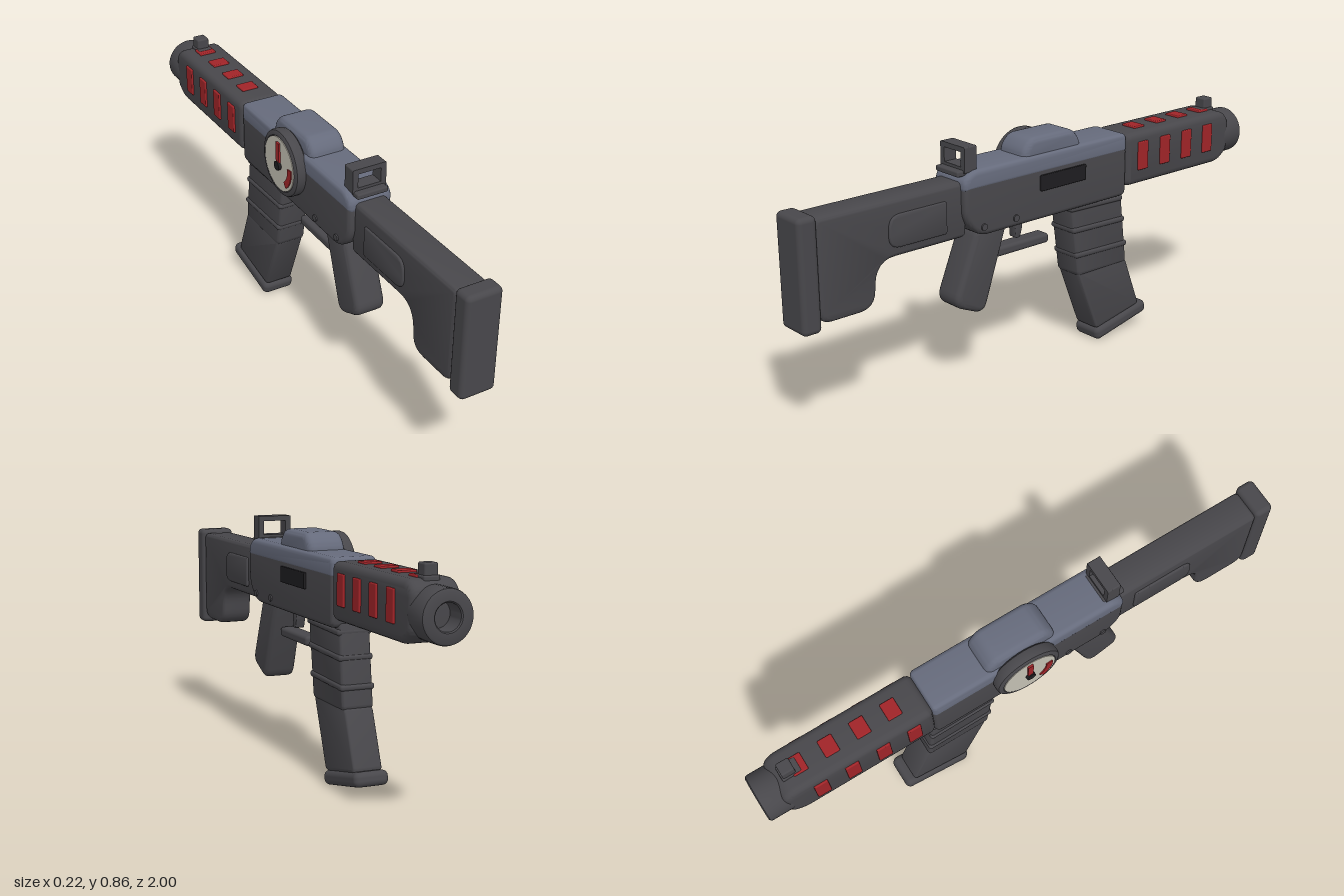
import * as THREE from 'three';
import { toCreasedNormals } from 'three/addons/utils/BufferGeometryUtils.js';
import { RoundedBoxGeometry } from 'three/addons/geometries/RoundedBoxGeometry.js';

const CX = 0.018; // centre plane of the body

function material(name, color) {
  const m = new THREE.MeshStandardMaterial({ color });
  m.name = name;
  return m;
}

// Closed outline of [z, y, radius] corners, each rounded by its radius
function roundedShape(points, radius) {
  const shape = new THREE.Shape();
  const n = points.length;
  points.forEach((p, i) => {
    const c = new THREE.Vector2(p[0], p[1]);
    const a = new THREE.Vector2(...points[(i + n - 1) % n].slice(0, 2)).sub(c);
    const b = new THREE.Vector2(...points[(i + 1) % n].slice(0, 2)).sub(c);
    const r = Math.min(p[2] ?? radius, a.length() * 0.48, b.length() * 0.48);
    a.setLength(r).add(c);
    b.setLength(r).add(c);
    if (i === 0) shape.moveTo(a.x, a.y);
    else shape.lineTo(a.x, a.y);
    shape.quadraticCurveTo(c.x, c.y, b.x, b.y);
  });
  shape.closePath();
  return shape;
}

// Side outline extruded across x, with softened edges
function slab(points, width, bevel, radius = bevel * 1.5) {
  const geo = new THREE.ExtrudeGeometry(roundedShape(points, radius), {
    depth: width - 2 * bevel, curveSegments: 6, bevelEnabled: true,
    bevelThickness: bevel, bevelSize: bevel, bevelOffset: -bevel, bevelSegments: 4,
  });
  geo.translate(0, 0, -(width - 2 * bevel) / 2);
  geo.rotateY(-Math.PI / 2);
  return toCreasedNormals(geo, 0.6);
}

function lathe(points) {
  const pts = points.map(([r, y]) => new THREE.Vector2(r, y));
  return toCreasedNormals(new THREE.LatheGeometry(pts, 40), 0.6);
}

export function createModel() {
  const dark = material('charcoal', 0x48474b);
  const slate = material('slate', 0x666b7c);
  const red = material('red', 0xa02428);
  const black = material('black', 0x1e1d20);
  const cream = material('dial cream', 0xc4c0b4);

  const model = new THREE.Group();
  const add = (name, geo, mat, x = CX, y = 0, z = 0) => {
    const mesh = new THREE.Mesh(geo, mat);
    mesh.name = name;
    mesh.position.set(x, y, z);
    model.add(mesh);
    return mesh;
  };
  const box = (name, mat, w, h, d, x, y, z, r = 0.006) =>
    add(name, new RoundedBoxGeometry(w, h, d, 3, r), mat, x, y, z);

  // Stock, cheek panels and butt plate
  add('stock', slab([
    [0.35, 0.752], [0.935, 0.752], [0.935, 0.405, 0.05], [0.722, 0.405, 0.06],
    [0.712, 0.56, 0.1], [0.35, 0.56],
  ], 0.116, 0.015), dark);
  add('stockPanel', slab([
    [0.435, 0.703, 0.01], [0.665, 0.703, 0.045], [0.668, 0.592, 0.045], [0.435, 0.592, 0.01],
  ], 0.132, 0.006), dark);
  box('buttPlate', dark, 0.131, 0.382, 0.07, CX + 0.002, 0.575, 0.965, 0.018);

  // Receiver: dark lower body, slate cover and top hump
  add('receiverBody', slab([
    [-0.375, 0.745], [0.372, 0.745], [0.372, 0.62, 0.04], [0.31, 0.556, 0.04], [-0.375, 0.556],
  ], 0.162, 0.016), dark);
  add('receiverCover', slab([
    [-0.375, 0.788], [0.335, 0.788, 0.04], [0.374, 0.76, 0.02], [0.374, 0.718, 0.015], [-0.375, 0.718, 0.015],
  ], 0.164, 0.018, 0.02), slate);
  add('topHump', slab([
    [-0.162, 0.76, 0.02], [-0.16, 0.805, 0.03], [-0.125, 0.846, 0.035],
    [0.07, 0.846, 0.035], [0.105, 0.805, 0.03], [0.107, 0.76, 0.02],
  ], 0.136, 0.022), slate);
  box('sidePort', black, 0.02, 0.056, 0.21, 0.098, 0.688, -0.06, 0.003);
  for (const z of [0.295, 0.155]) {
    const pin = new THREE.CylinderGeometry(0.012, 0.012, 0.172, 16).rotateZ(Math.PI / 2);
    add('pin', pin, dark, CX, 0.588, z);
  }

  // Rear sight frame on a small base
  const frame = roundedShape([[-0.063, 0.78], [0.063, 0.78], [0.063, 0.868], [-0.063, 0.868]], 0.005);
  frame.holes.push(new THREE.Path([
    [-0.043, 0.8], [-0.043, 0.85], [0.043, 0.85], [0.043, 0.8],
  ].map(([x, y]) => new THREE.Vector2(x, y))));
  add('rearSight', new THREE.ExtrudeGeometry(frame, { depth: 0.05, bevelEnabled: false }), dark, CX + 0.001, 0, 0.31);
  box('rearSightBase', dark, 0.116, 0.02, 0.085, CX, 0.78, 0.343);

  // Handguard with red vents on both sides and the top
  add('handguard', slab([
    [-0.372, 0.78], [-0.372, 0.585], [-0.88, 0.585, 0.03], [-0.93, 0.625, 0.02],
    [-0.93, 0.75, 0.02], [-0.895, 0.78, 0.03],
  ], 0.166, 0.024, 0.03), dark);
  for (let i = 0; i < 4; i++) {
    const z = -0.453 - i * 0.116;
    for (const side of [-1, 1])
      box('sideVent', red, 0.014, 0.106, 0.05, CX + side * 0.083, 0.693, z, 0.004);
    box('topVent', red, 0.064, 0.014, 0.052, CX, 0.78, z - 0.034, 0.004);
  }
  box('frontSightBase', dark, 0.055, 0.02, 0.07, CX, 0.779, -0.865);
  box('frontSight', dark, 0.046, 0.055, 0.046, CX, 0.798, -0.872);

  // Muzzle collar with bore
  add('muzzle', lathe([
    [0.06, -0.04], [0.078, -0.02], [0.085, 0], [0.085, 0.08], [0.083, 0.086], [0.077, 0.09],
    [0.047, 0.09], [0.043, 0.086], [0.043, 0.01], [0, 0.01],
  ]).rotateX(-Math.PI / 2), dark, CX, 0.68, -0.91);

  // Grip, trigger and guard bar
  add('grip', slab([
    [0.165, 0.575], [0.3, 0.575], [0.405, 0.318, 0.045], [0.272, 0.26, 0.045],
  ], 0.114, 0.02), dark);
  add('trigger', slab([
    [0.112, 0.57], [0.066, 0.57], [0.07, 0.52], [0.08, 0.485], [0.1, 0.485], [0.103, 0.52],
  ], 0.035, 0.004), dark);
  box('triggerGuard', dark, 0.06, 0.035, 0.24, CX, 0.457, 0.075, 0.012);

  // Curved magazine with ribs and a foot plate
  add('magazineUpper', slab([
    [-0.122, 0.58], [-0.375, 0.58], [-0.411, 0.285], [-0.163, 0.285],
  ], 0.112, 0.012), dark);
  add('magazineLower', slab([
    [-0.164, 0.298], [-0.41, 0.298], [-0.488, 0.095], [-0.262, 0.05],
  ], 0.107, 0.012), dark);
  for (const y of [0.545, 0.462, 0.365]) {
    const z = -0.25 - (0.555 - y) * 0.145;
    const rib = box('magazineRib', dark, 0.124, 0.022, 0.258, CX, y, z, 0.01);
    rib.rotation.x = -0.03;
  }
  const foot = box('magazineFoot', dark, 0.124, 0.05, 0.265, CX, 0.054, -0.39, 0.02);
  foot.rotation.x = 0.21;

  // Round dial on the right side: rim, face, needle, hub and scale mark
  const dialY = 0.718, dialZ = -0.028;
  add('dialRim', lathe([
    [0, 0], [0.112, 0], [0.119, 0.006], [0.121, 0.014], [0.121, 0.034], [0.118, 0.042],
    [0.11, 0.047], [0.102, 0.047], [0.098, 0.043], [0, 0.043],
  ]).rotateZ(Math.PI / 2), dark, -0.053, dialY, dialZ);
  add('dialFace', new THREE.CylinderGeometry(0.099, 0.099, 0.008, 40).rotateZ(Math.PI / 2), cream, -0.097, dialY, dialZ);
  add('dialNeedle', new THREE.BoxGeometry(0.008, 0.085, 0.02), red, -0.104, dialY + 0.04, dialZ);
  add('dialHub', new THREE.CylinderGeometry(0.017, 0.017, 0.016, 20).rotateZ(Math.PI / 2), black, -0.104, dialY - 0.005, dialZ);
  const mark = new THREE.Shape();
  mark.absarc(0, 0, 0.088, -0.95, 0.15, false);
  mark.absarc(0, 0, 0.064, 0.15, -0.95, true);
  const markGeo = new THREE.ExtrudeGeometry(mark, { depth: 0.006, bevelEnabled: false, curveSegments: 10 });
  add('dialMark', markGeo.rotateY(-Math.PI / 2), red, -0.099, dialY, dialZ);

  return model;
}
